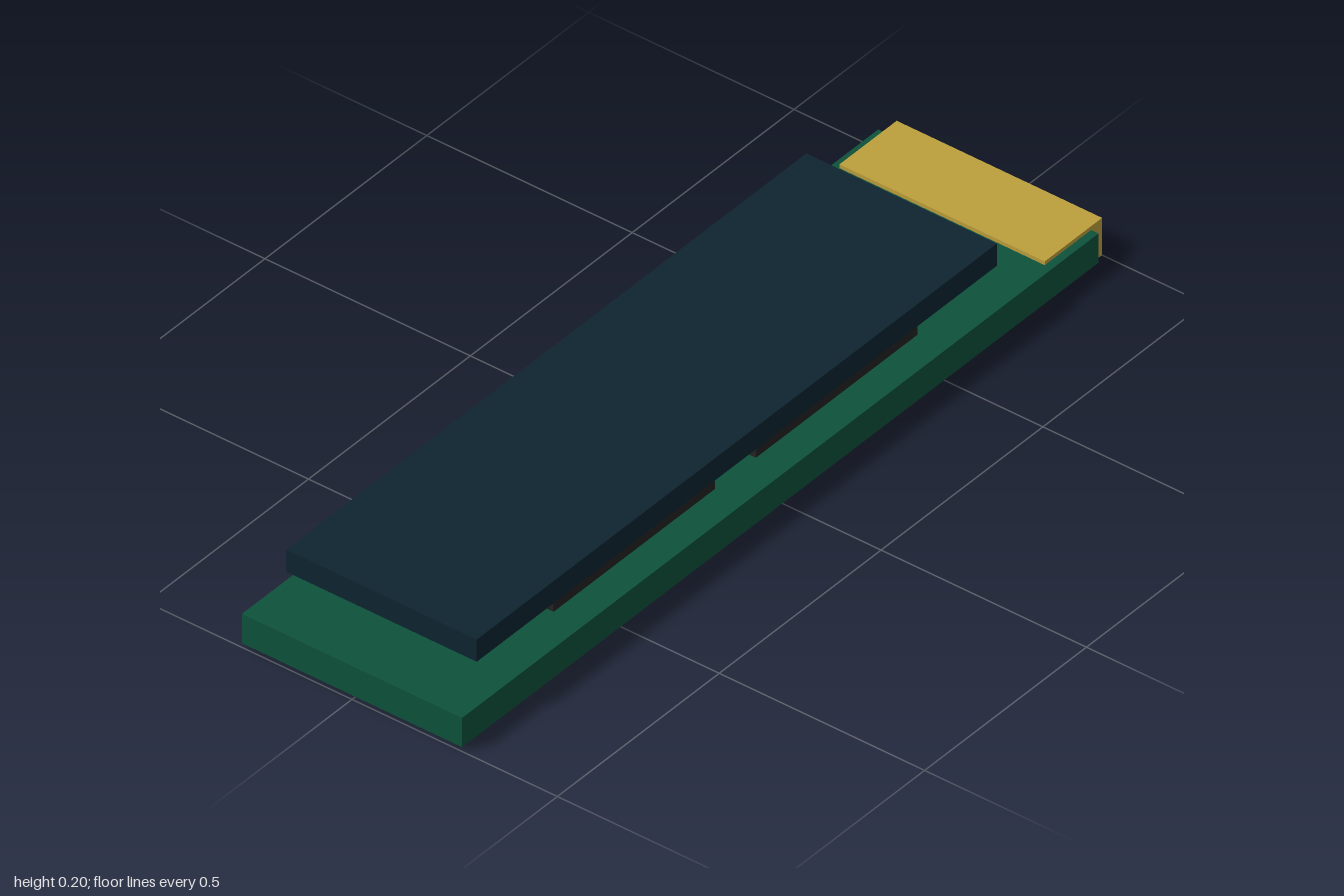
import * as THREE from 'three';

const mat = (name, color) => {
  const m = new THREE.MeshStandardMaterial({ color });
  m.name = name;
  return m;
};

// Box given by half width and its y and z ranges, centred on x = 0
function slab(name, material, halfWidth, [y0, y1], [z0, z1]) {
  const mesh = new THREE.Mesh(new THREE.BoxGeometry(halfWidth * 2, y1 - y0, z1 - z0), material);
  mesh.position.set(0, (y0 + y1) / 2, (z0 + z1) / 2);
  mesh.name = name;
  return mesh;
}

export function createModel() {
  const green = mat('board green', 0x0e523c);
  const gold = mat('contact gold', 0xbc9f3c);
  const black = mat('chip black', 0x232323);
  const navy = mat('heat spreader navy', 0x0e2430);

  const model = new THREE.Group();
  model.name = 'circuitBoardModule';

  // Circuit board with the gold edge connector wrapped around its back end
  model.add(slab('circuitBoard', green, 0.268, [0.01, 0.08], [-0.966, 1]));
  model.add(slab('edgeConnector', gold, 0.25, [0, 0.089], [-1, -0.823]));

  // Two chips carrying the heat spreader
  [['frontChip', 0.127, 0.626], ['backChip', -0.498, 0.001]].forEach(([name, z0, z1]) =>
    model.add(slab(name, black, 0.196, [0.08, 0.144], [z0, z1])));
  model.add(slab('heatSpreader', navy, 0.232, [0.144, 0.197], [-0.698, 0.909]));

  return model;
}
